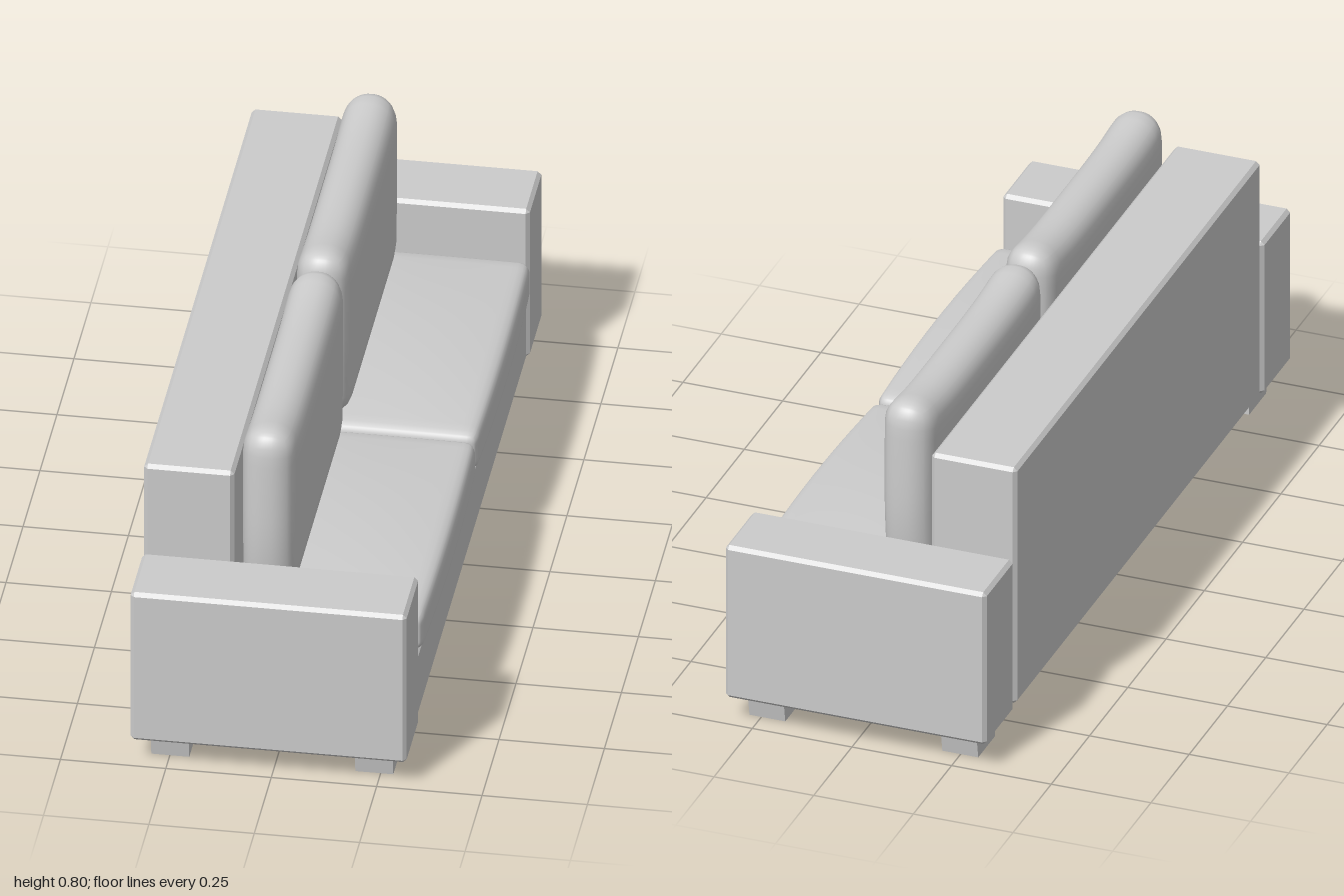
import * as THREE from 'three';
import { mergeVertices } from 'three/addons/utils/BufferGeometryUtils.js';
import { ConvexGeometry } from 'three/addons/geometries/ConvexGeometry.js';

const material = new THREE.MeshStandardMaterial({ color: 0xcccccc });

function add(group, name, geometry) {
  const mesh = new THREE.Mesh(geometry, material);
  mesh.name = name;
  group.add(mesh);
  return mesh;
}

// Box between two corners with every edge chamfered by c
function chamferBox([x0, y0, z0], [x1, y1, z1], c = 0.009) {
  const points = [];
  for (const i of [0, 1]) for (const j of [0, 1]) for (const k of [0, 1]) {
    const corner = [i ? x1 : x0, j ? y1 : y0, k ? z1 : z0];
    const inward = [i ? -c : c, j ? -c : c, k ? -c : c];
    for (let flat = 0; flat < 3; flat++) {
      points.push(new THREE.Vector3(...corner.map((v, a) => (a === flat ? v : v + inward[a]))));
    }
  }
  return new ConvexGeometry(points);
}

// Smooth rounded box between two corners, then shaped by deform(point, unit)
function cushion(min, max, radius, deform) {
  let geo = new THREE.BoxGeometry(2, 2, 2, 20, 20, 20);
  geo.deleteAttribute('normal');
  geo.deleteAttribute('uv');
  geo = mergeVertices(geo);
  const lo = new THREE.Vector3(...min), hi = new THREE.Vector3(...max);
  const centre = lo.clone().add(hi).multiplyScalar(0.5);
  const half = hi.clone().sub(lo).multiplyScalar(0.5);
  const inner = half.clone().subScalar(radius);
  const pos = geo.attributes.position;
  const p = new THREE.Vector3(), core = new THREE.Vector3(), unit = new THREE.Vector3();
  // Crowd the grid towards the rounded edges
  const crowd = (u) => Math.sign(u) * (1 - Math.pow(1 - Math.abs(u), 1.8));
  for (let i = 0; i < pos.count; i++) {
    p.fromBufferAttribute(pos, i);
    p.set(crowd(p.x), crowd(p.y), crowd(p.z)).multiply(half);
    core.copy(p).clamp(inner.clone().negate(), inner);
    p.sub(core);
    if (p.lengthSq() > 0) p.setLength(radius);
    p.add(core);
    unit.copy(p).divide(half);
    p.add(centre);
    deform(p, unit, centre);
    pos.setXYZ(i, p.x, p.y, p.z);
  }
  geo.computeVertexNormals();
  return geo;
}

// Block foot whose outer side slopes in towards the floor
function footGeometry() {
  const geo = new THREE.BoxGeometry(0.09, 0.075, 0.125).toNonIndexed();
  const pos = geo.attributes.position;
  for (let i = 0; i < pos.count; i++) {
    if (pos.getY(i) < 0 && pos.getZ(i) > 0) pos.setZ(i, pos.getZ(i) - 0.014);
  }
  geo.computeVertexNormals();
  return geo;
}

export function createModel() {
  const sofa = new THREE.Group();
  sofa.name = 'sofa';

  // Frame
  add(sofa, 'seatBase', chamferBox([-0.12, 0.075, -0.808], [0.315, 0.246, 0.808]));
  add(sofa, 'backrest', chamferBox([-0.335, 0.075, -0.8], [-0.121, 0.706, 0.8]));
  add(sofa, 'leftArm', chamferBox([-0.335, 0.068, -1], [0.32, 0.475, -0.814]));
  add(sofa, 'rightArm', chamferBox([-0.335, 0.068, 0.814], [0.32, 0.475, 1]));

  // Feet under the arms
  for (const side of [-1, 1]) {
    for (const x of [-0.249, 0.235]) {
      const foot = add(sofa, 'foot', footGeometry());
      foot.position.set(x, 0.0375, side * 0.892);
      if (side < 0) foot.rotation.y = Math.PI;
    }
  }

  // Two seat cushions with crowned tops and two back cushions with raised corners
  for (const side of [-1, 1]) {
    const z = side * 0.402;
    add(sofa, 'seatCushion', cushion([-0.12, 0.249, z - 0.396], [0.326, 0.352, z + 0.396], 0.026, (p, u) => {
      const crown = (1 - u.x * u.x) * (1 - u.z * u.z);
      if (u.y > 0) p.y += 0.024 * u.y * (0.35 * (1 - u.z * u.z) + 0.65 * crown);
      if (u.x > 0) p.x += 0.009 * u.x * (1 - u.z * u.z);
    }));
    const zb = side * 0.397 + 0.003;
    add(sofa, 'backCushion', cushion([-0.11, 0.345, zb - 0.392], [0.02, 0.79, zb + 0.392], 0.062, (p, u, c) => {
      if (u.y > 0) p.y += 0.028 * u.y * Math.pow(Math.abs(u.z), 4);
      const narrow = u.y < 0 ? 0.06 * u.y * u.y : 0.012 * u.y * u.y;
      p.z = c.z + (p.z - c.z) * (1 - narrow);
    }));
  }
  return sofa;
}
